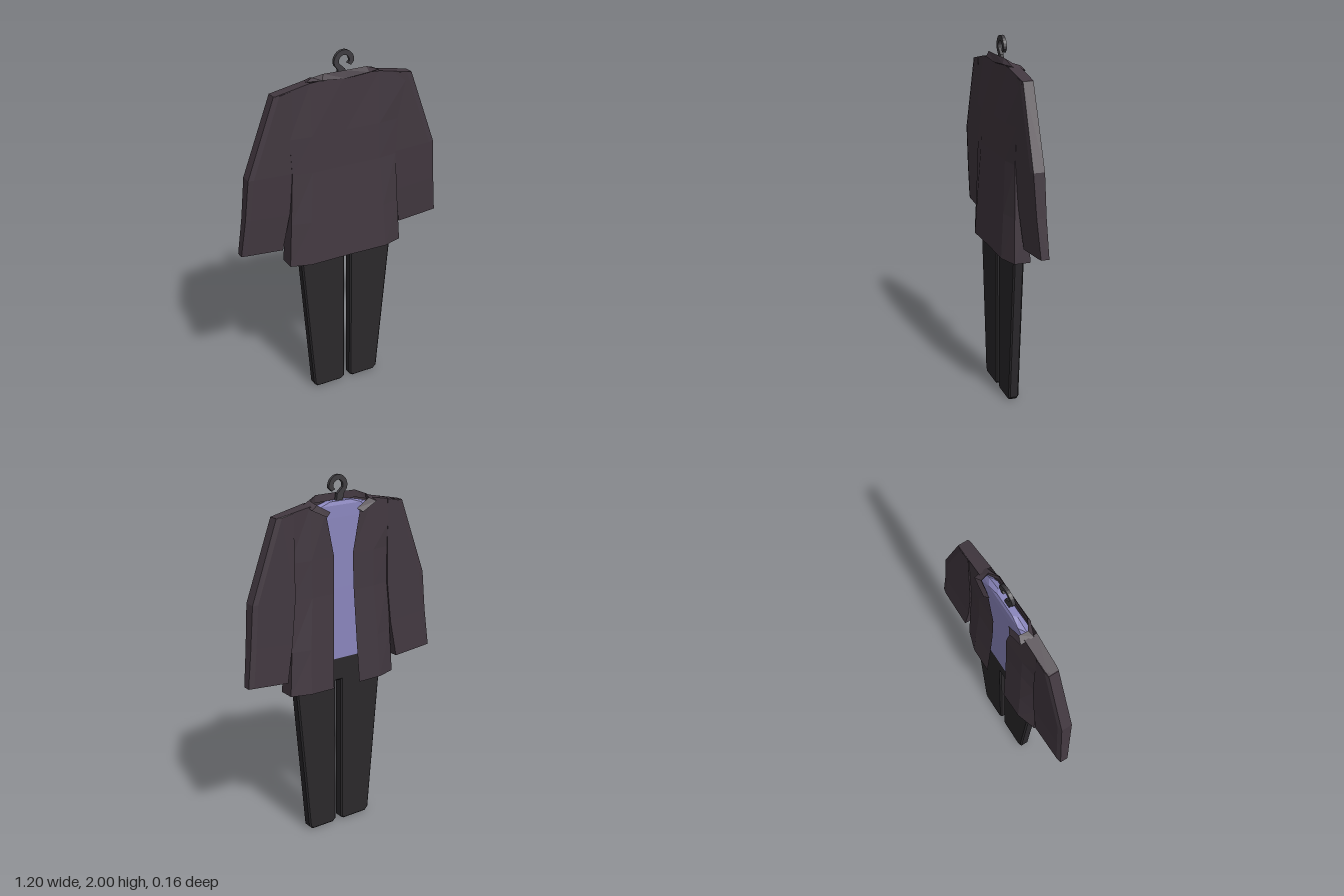
import * as THREE from 'three';

const mat = (color) => new THREE.MeshStandardMaterial({ color, flatShading: true, side: THREE.DoubleSide });
const jacketMat = mat(0x423840);
const shirtMat = mat(0x8a86bd);
const trouserMat = mat(0x2a282b);
const hookMat = mat(0x3e3c40);

function part(parent, name, geometry, material) {
  const mesh = new THREE.Mesh(geometry, material);
  mesh.name = name;
  parent.add(mesh);
  return mesh;
}

// Skin a list of equally long point rows; optionally close each ring and cap the ends
function skin(rows, closed = false, caps = false) {
  const n = rows[0].length, index = [];
  for (let r = 0; r < rows.length - 1; r++) {
    for (let c = 0; c < (closed ? n : n - 1); c++) {
      const a = r * n + c, b = r * n + (c + 1) % n;
      index.push(a, b, a + n, b, b + n, a + n);
    }
  }
  if (caps) {
    const last = (rows.length - 1) * n;
    for (let c = 1; c < n - 1; c++) index.push(0, c + 1, c, last, last + c, last + c + 1);
  }
  const g = new THREE.BufferGeometry();
  g.setAttribute('position', new THREE.Float32BufferAttribute(rows.flat(2), 3));
  g.setIndex(index);
  const flat = g.toNonIndexed();
  flat.computeVertexNormals();
  return flat;
}

// Complete a half row that ends on the centre plane with its mirror image
const mirrorRow = (half) => [...half, ...half.slice(0, -1).reverse().map(([x, y, z]) => [-x, y, z])];

function extrude(shape, depth, bevel = 0) {
  const g = new THREE.ExtrudeGeometry(shape, {
    depth: depth - 2 * bevel, curveSegments: 7, bevelEnabled: bevel > 0,
    bevelThickness: bevel, bevelSize: bevel, bevelOffset: -bevel, bevelSegments: 1,
  });
  return g.translate(0, 0, -depth / 2 + bevel);
}

const polygon = (points) => new THREE.Shape(points.map(([x, y]) => new THREE.Vector2(x, y)));

function makeJacket() {
  const jacket = new THREE.Group();
  jacket.name = 'jacket';

  // Open body: y, opening x, mid x, side x, opening z, side z, mid z
  const levels = [
    [0.855, 0.085, 0.23, 0.34, 0.082, 0.045, 0.08],
    [1.1, 0.075, 0.22, 0.325, 0.067, 0.038, 0.065],
    [1.38, 0.065, 0.2, 0.31, 0.052, 0.032, 0.049],
    [1.58, 0.06, 0.2, 0.32, 0.048, 0.03, 0.045],
  ];
  const rows = levels.map(([y, ox, mx, sx, oz, sz, mz]) => mirrorRow([
    [ox, y, -oz], [mx, y, -mz], [sx, y, -sz], [sx, y, sz], [mx, y, mz], [0, y, mz - 0.004],
  ]));
  rows.push(mirrorRow([
    [0.11, 1.82, -0.045], [0.2, 1.86, -0.035], [0.395, 1.825, -0.032],
    [0.395, 1.825, 0.028], [0.2, 1.865, 0.033], [0, 1.88, 0.035],
  ]));
  part(jacket, 'jacketBody', skin(rows), jacketMat);

  for (const s of [1, -1]) {
    const side = s > 0 ? 'left' : 'right';

    // Shoulder top
    part(jacket, side + 'Shoulder', skin([
      [[s * 0.2, 1.86, -0.035], [s * 0.395, 1.825, -0.032]],
      [[s * 0.2, 1.865, 0.033], [s * 0.395, 1.825, 0.028]],
    ]), jacketMat);

    // Sleeve: outer x and y, inner x and y, back z, front z
    const sleeve = [
      [0.4, 1.825, 0.3, 1.84, -0.036, 0.031],
      [0.555, 1.4, 0.3, 1.39, -0.042, 0.03],
      [0.575, 1.17, 0.325, 1.15, -0.046, 0.018],
      [0.6, 0.96, 0.362, 0.942, -0.054, 0.002],
    ].map(([ox, oy, ix, iy, z0, z1]) => [
      [s * ox, oy, z0 + 0.006], [s * ox, oy, z1 - 0.006], [s * (ox - 0.03), oy, z1],
      [s * ix, iy, z1], [s * ix, iy, z0], [s * (ox - 0.03), oy, z0],
    ]);
    part(jacket, side + 'Sleeve', skin(sleeve, true, true), jacketMat);
  }

  // Folded collar: raised inner edge and lower outer edge
  const inner = [[0.085, 1.82, -0.05], [0.165, 1.865, -0.045], [0.175, 1.88, 0], [0.125, 1.9, 0.028], [0, 1.9, 0.03]];
  const outer = [[0.115, 1.8, -0.066], [0.205, 1.845, -0.06], [0.21, 1.865, 0.01], [0.135, 1.87, 0.04], [0, 1.86, 0.041]];
  const under = [[0.1, 1.805, -0.05], [0.175, 1.835, -0.045], [0.18, 1.85, 0], [0.13, 1.86, 0.026], [0, 1.86, 0.028]];
  part(jacket, 'collar', skin([inner, outer, under, inner].map(mirrorRow)), jacketMat);
  return jacket;
}

function makeShirt() {
  // Flat body rising to a narrow neck: y, half width, half depth
  const rows = [
    [1.0, 0.27, 0.029], [1.4, 0.27, 0.029], [1.78, 0.27, 0.027],
    [1.845, 0.17, 0.025], [1.865, 0.085, 0.018],
  ].map(([y, w, d]) => [
    [w, y, 0], [w * 0.75, y, d], [-w * 0.75, y, d], [-w, y, 0], [-w * 0.75, y, -d], [w * 0.75, y, -d],
  ]);
  return skin(rows, true, true);
}

export function createModel() {
  const model = new THREE.Group();
  model.name = 'suitOnHanger';
  model.add(makeJacket());
  part(model, 'shirt', makeShirt(), shirtMat);

  // Trousers with two straight legs
  part(model, 'trousers', extrude(polygon([
    [-0.245, 1.06], [-0.265, 0.86], [-0.195, 0.02], [-0.175, 0], [-0.02, 0], [0, 0.015],
    [0, 0.87], [0.035, 0.87], [0.035, 0.015], [0.055, 0], [0.195, 0], [0.215, 0.02],
    [0.29, 0.86], [0.265, 1.06],
  ]), 0.058, 0.008), trouserMat);

  // Hanger hook: open ring running into a slanted stem
  const hook = new THREE.Shape();
  const cx = 0.006, cy = 1.942, end = Math.PI * 1.1;
  hook.absarc(cx, cy, 0.058, -0.15, end, false);
  hook.lineTo(-0.03, 1.9);
  hook.lineTo(-0.02, 1.85);
  hook.lineTo(0.02, 1.85);
  hook.lineTo(0.012, 1.9);
  hook.absarc(cx, cy, 0.031, end, -0.15, true);
  hook.lineTo(0.026, 1.926);
  hook.lineTo(0.045, 1.915);
  part(model, 'hangerHook', extrude(hook, 0.018), hookMat);
  return model;
}
